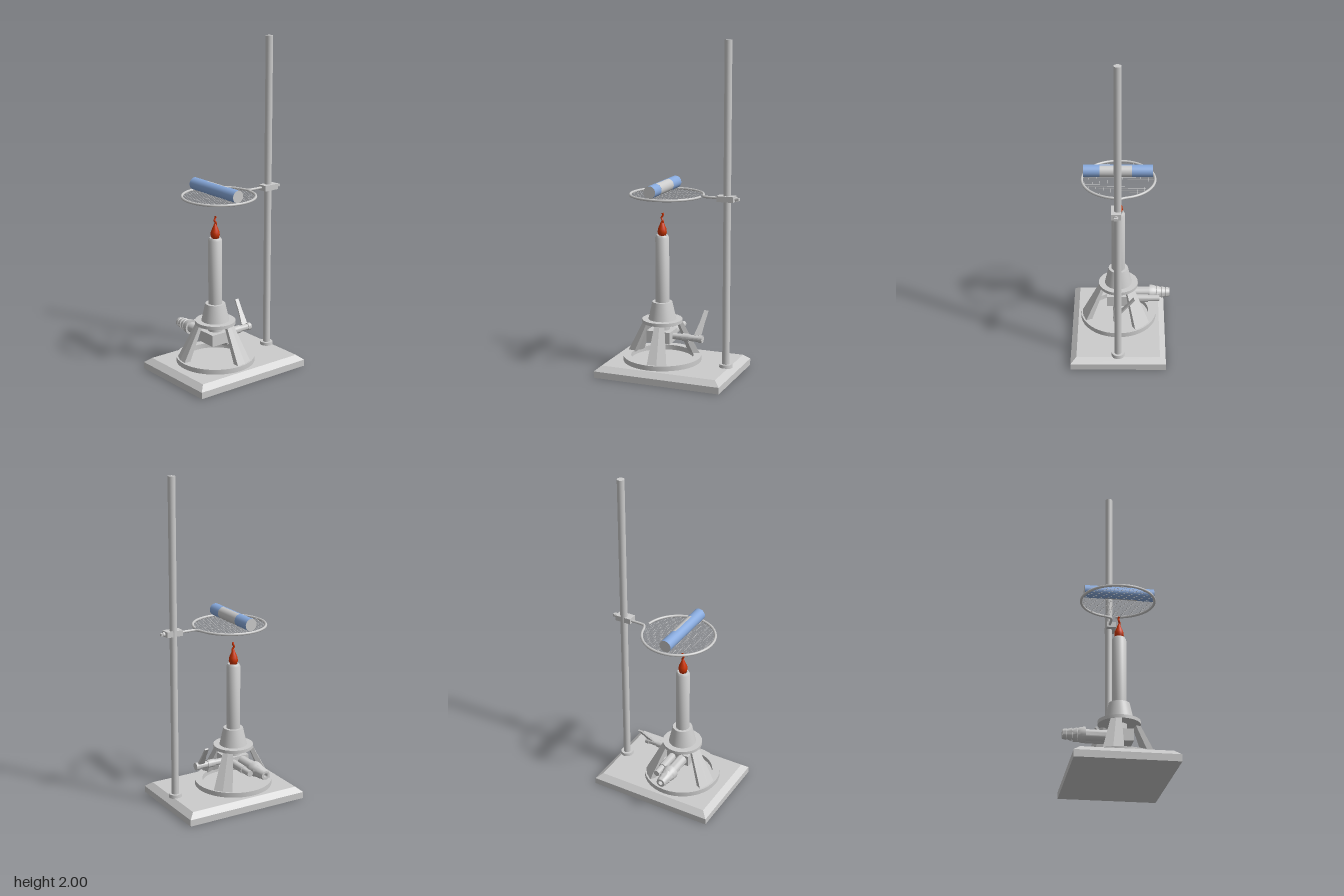
import * as THREE from 'three';
import { toCreasedNormals, mergeGeometries } from 'three/addons/utils/BufferGeometryUtils.js';

const mat = (color, extra = {}) => new THREE.MeshStandardMaterial({ color, ...extra });
const V = (x, y, z) => new THREE.Vector3(x, y, z);

export function createModel() {
  const root = new THREE.Group();
  const grey = mat(0xcccccc);
  const flat = mat(0xcccccc, { flatShading: true });
  const blue = mat(0x88aadd);
  const red = mat(0xcc3300);

  const add = (name, geo, material, x = 0, y = 0, z = 0, parent = root) => {
    const m = new THREE.Mesh(geo, material);
    m.name = name;
    m.position.set(x, y, z);
    parent.add(m);
    return m;
  };
  // Turned part from [radius, height] points, with sharp edges kept
  const lathe = (pts, seg = 32) => toCreasedNormals(
    new THREE.LatheGeometry(pts.map(([r, y]) => new THREE.Vector2(r, y)), seg), 0.6);
  const cyl = (r0, r1, h, seg = 20) => new THREE.CylinderGeometry(r1, r0, h, seg);
  const box = (w, h, d) => new THREE.BoxGeometry(w, h, d);

  // Base plate with a bevelled top edge
  const plate = new THREE.BoxGeometry(0.79, 0.07, 0.58, 1, 2, 1);
  const p = plate.attributes.position;
  for (let i = 0; i < p.count; i++) {
    const y = p.getY(i);
    if (Math.abs(y) < 0.01) p.setY(i, 0.005);
    else if (y > 0) {
      p.setX(i, p.getX(i) - Math.sign(p.getX(i)) * 0.036);
      p.setZ(i, p.getZ(i) - Math.sign(p.getZ(i)) * 0.036);
    }
  }
  add('basePlate', plate, flat, -0.01, 0.035, 0.015);

  // Upright rod with its foot collar
  add('rod', cyl(0.022, 0.022, 1.93), grey, 0.327, 1.035, 0.016);
  add('rodCollar', cyl(0.04, 0.038, 0.022), grey, 0.327, 0.078, 0.016);

  // Burner, standing on its own axis
  const burner = new THREE.Group();
  burner.name = 'burner';
  burner.position.set(-0.08, 0, 0.017);
  root.add(burner);
  const part = (name, geo, material, x, y, z) => add(name, geo, material, x, y, z, burner);

  part('footRing', lathe([[0.19, 0.07], [0.237, 0.07], [0.237, 0.1], [0.19, 0.1], [0.19, 0.07]], 40), grey);
  part('topPlate', lathe([[0, 0.305], [0.122, 0.305], [0.122, 0.325], [0, 0.325]], 36), grey);
  part('barrelCone', lathe([[0, 0.325], [0.084, 0.325], [0.06, 0.432], [0, 0.432]]), grey);
  part('barrel', lathe([[0.042, 0.43], [0.042, 0.825], [0.034, 0.84], [0.026, 0.84], [0.026, 0.78], [0, 0.78]], 24), grey);

  // Three tapered legs leaning in from the foot ring
  for (let k = 0; k < 3; k++) {
    const g = new THREE.BoxGeometry(1, 1, 1, 1, 1, 2);
    const q = g.attributes.position;
    for (let i = 0; i < q.count; i++) {
      const t = q.getY(i) + 0.5;
      const r = q.getX(i) > 0 ? 0.235 - 0.118 * t : 0.192 - 0.1 * t;
      const a = q.getZ(i) * THREE.MathUtils.degToRad(30);
      q.setXYZ(i, r * Math.cos(a), 0.085 + 0.228 * t, r * Math.sin(a));
    }
    part('leg', g, flat).rotation.y = THREE.MathUtils.degToRad(43 + 120 * k);
  }

  // Gas block under the plate
  part('gasBlock', box(0.15, 0.07, 0.13), grey, 0, 0.225, 0.005);
  part('gasNeck', cyl(0.045, 0.045, 0.06), grey, 0, 0.285, 0);

  // Hose barb and air screw, both pointing to the back
  const barb = [[0, 0], [0.033, 0], [0.033, 0.15], [0.046, 0.15], [0.044, 0.175], [0.036, 0.192],
    [0.04, 0.195], [0.031, 0.222], [0.037, 0.225], [0.028, 0.252], [0.032, 0.255], [0.027, 0.277],
    [0.014, 0.277], [0.014, 0.22], [0, 0.22]];
  const inlet = part('hoseBarb', lathe(barb, 24), grey, -0.03, 0.225, -0.047);
  inlet.rotation.x = -Math.PI / 2;
  const screw = part('airScrew', lathe([[0, 0], [0.024, 0], [0.024, 0.14], [0.019, 0.14], [0.019, 0.21], [0, 0.21]], 16),
    grey, 0.037, 0.225, -0.047);
  screw.rotation.x = -Math.PI / 2;

  // Side valve with its tilted lever
  const valve = part('valve', lathe([[0, 0], [0.019, 0], [0.019, 0.135], [0.024, 0.135], [0.024, 0.18],
    [0.019, 0.18], [0.019, 0.24], [0.023, 0.24], [0.023, 0.262], [0, 0.262]], 18), grey, 0, 0.225, 0.008);
  valve.rotation.z = -Math.PI / 2;
  const outline = new THREE.Shape([[0.125, 0], [0.168, 0], [0.171, 0.08], [0.178, 0.165], [0.153, 0.165], [0.143, 0.085]]
    .map(([x, y]) => new THREE.Vector2(x, y)));
  const lever = add('valveLever', new THREE.ExtrudeGeometry(outline, { depth: 0.01, bevelEnabled: false }),
    flat, 0, 0.238, 0.012);
  lever.rotation.x = -0.65;

  // Flame: a teardrop and a thin curling tip
  part('flame', new THREE.LatheGeometry([[0, 0.825], [0.02, 0.835], [0.028, 0.858], [0.025, 0.88],
    [0.014, 0.905], [0.006, 0.925], [0, 0.935]].map(([r, y]) => new THREE.Vector2(r, y)), 14), red);
  const tip = new THREE.CatmullRomCurve3([V(0, 0.9, 0), V(0.006, 0.925, 0.003), V(-0.004, 0.945, 0),
    V(0.004, 0.96, -0.003), V(0.001, 0.975, 0)]);
  part('flameTip', new THREE.TubeGeometry(tip, 16, 0.006, 8), red);

  // Support ring and arm, bent from one length of wire
  const cx = -0.05, cz = 0.015, R = 0.217, ringY = 1.088;
  const path = [];
  for (let d = -5; d >= -348; d -= 7) {
    const a = THREE.MathUtils.degToRad(d);
    path.push(V(cx + R * Math.cos(a), ringY, cz - R * Math.sin(a)));
  }
  path.push(V(0.172, ringY, -0.006), V(0.186, ringY, 0.011), V(0.21, ringY, 0.015), V(0.29, ringY, 0.015));
  add('supportRing', new THREE.TubeGeometry(new THREE.CatmullRomCurve3(path), 160, 0.008, 8), grey);

  // Fine wire gauze across the ring
  const wires = [];
  for (let o = -0.198; o < 0.2; o += 0.022) {
    const len = 2 * Math.sqrt(R * R - o * o);
    wires.push(box(len, 0.0006, 0.0006).translate(0, 0, o), box(0.0006, 0.0006, len).translate(o, 0, 0));
  }
  add('gauze', mergeGeometries(wires), grey, cx, ringY, cz);

  // Clamp on the rod and its thumb screw
  add('clamp', box(0.102, 0.034, 0.058), grey, 0.325, ringY, 0.026);
  add('clampScrew', cyl(0.007, 0.007, 0.03, 12), grey, 0.388, ringY, 0.026).rotation.z = Math.PI / 2;
  add('clampKnob', cyl(0.014, 0.014, 0.01, 12), grey, 0.386, ringY, 0.026).rotation.z = Math.PI / 2;
  add('clampWing', box(0.012, 0.016, 0.022), grey, 0.398, ringY, 0.026);

  // Glass tube lying on the gauze, with a plain patch along its left side
  const tube = new THREE.Group();
  tube.name = 'glassTube';
  tube.position.set(-0.075, 1.13, 0);
  root.add(tube);
  const shell = (name, z0, z1, start, sweep, material) => {
    const g = new THREE.CylinderGeometry(0.037, 0.037, z1 - z0, 24, 1, true, start, sweep);
    add(name, g, material, 0, 0, (z0 + z1) / 2, tube).rotation.x = Math.PI / 2;
  };
  shell('tubeFront', 0.127, 0.224, 0, Math.PI * 2, blue);
  shell('tubeBack', -0.188, -0.064, 0, Math.PI * 2, blue);
  shell('tubeMiddle', -0.064, 0.127, Math.PI, Math.PI, blue);
  shell('tubePatch', -0.064, 0.127, 0, Math.PI, grey);
  add('tubeFrontEnd', new THREE.CircleGeometry(0.037, 24), grey, 0, 0, 0.224, tube);
  add('tubeBackEnd', new THREE.CircleGeometry(0.037, 24), grey, 0, 0, -0.188, tube).rotation.y = Math.PI;

  return root;
}
